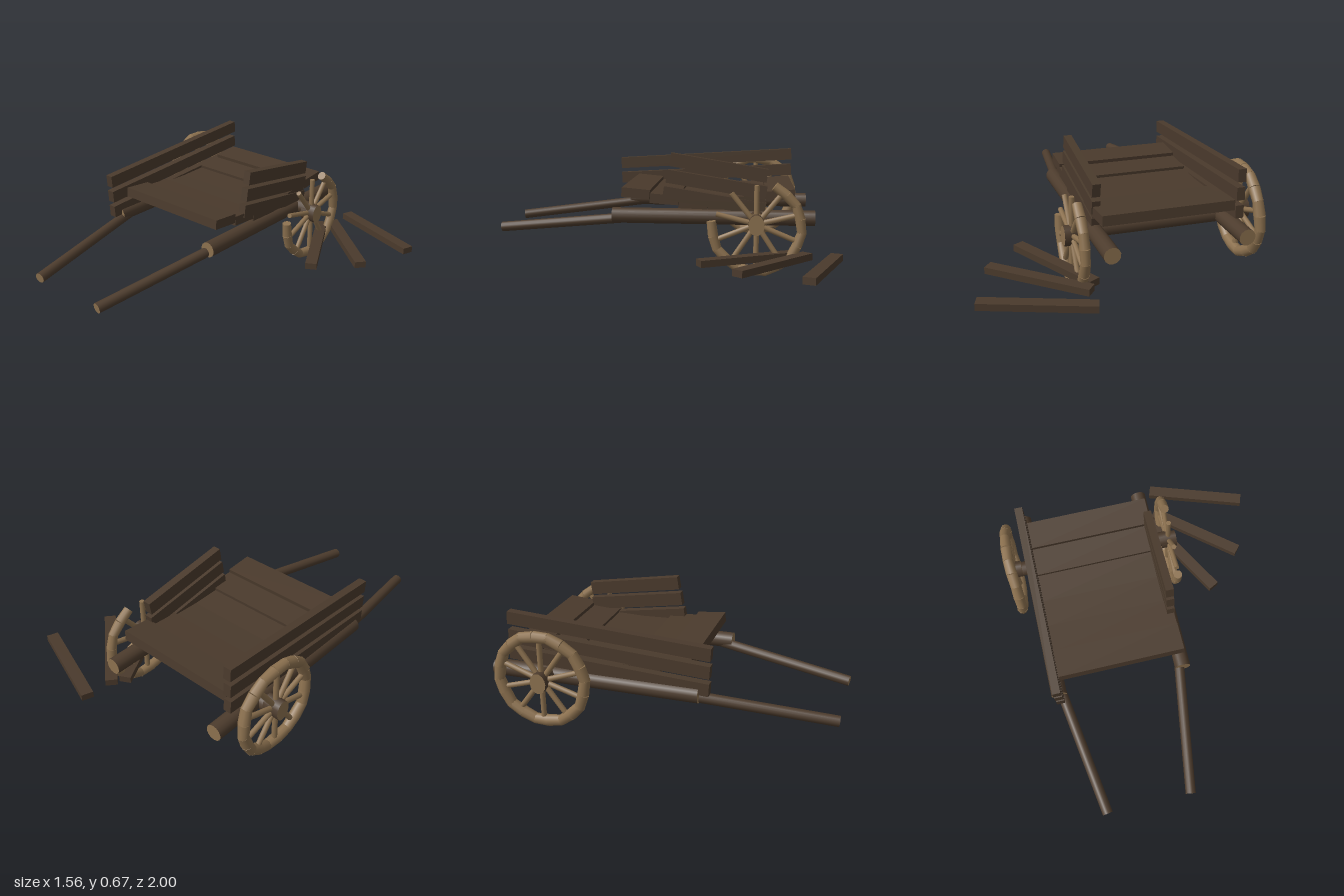
import * as THREE from 'three';

export function createModel() {
  const root = new THREE.Group();
  const mat = (name, color) => {
    const m = new THREE.MeshStandardMaterial({ color });
    m.name = name;
    return m;
  };
  const darkWood = mat('dark wood', 0x4d3c2d);
  const boardWood = mat('board wood', 0x4a3a2c);
  const paleWood = mat('pale wood', 0x8c714f);
  const V = (x, y, z) => new THREE.Vector3(x, y, z);

  // Round timber between two points, with its own material on the cut ends
  const rod = (name, a, b, r, side, end = side, parent = root, sides = 14, r2 = r) => {
    const d = b.clone().sub(a);
    const mesh = new THREE.Mesh(new THREE.CylinderGeometry(r2, r, d.length(), sides), [side, end, end]);
    mesh.position.copy(a).add(b).multiplyScalar(0.5);
    mesh.quaternion.setFromUnitVectors(V(0, 1, 0), d.normalize());
    mesh.name = name;
    parent.add(mesh);
    return mesh;
  };
  const box = (name, w, h, d, x, y, z) => {
    const mesh = new THREE.Mesh(new THREE.BoxGeometry(w, h, d), boardWood);
    mesh.position.set(x, y, z);
    mesh.name = name;
    root.add(mesh);
    return mesh;
  };

  // Side rails with pull shafts converging toward the front
  for (const s of [-1, 1]) {
    const cx = -0.257;
    rod('sideRail', V(cx + s * 0.363, 0.315, -0.85), V(cx + s * 0.363, 0.315, 0.3), 0.045, darkWood, paleWood);
    rod('pullShaft', V(cx + s * 0.36, 0.303, 0.2), V(cx + s * 0.237, 0.211, 0.996), 0.029, darkWood, paleWood);
  }

  // Axle
  rod('axle', V(-0.74, 0.315, -0.525), V(0.225, 0.315, -0.525), 0.043, darkWood, paleWood);

  // Deck planks, sagging in the middle: height and tilt of each, front to back
  const deck = [[0.444, -0.09], [0.412, -0.07], [0.388, -0.03], [0.388, 0.03], [0.412, 0.07], [0.444, 0.09]];
  deck.forEach(([y, tilt], i) => {
    box('deckPlank', 0.72, 0.055, 0.163, -0.237, y, 0.165 - i * 0.164).rotation.x = tilt;
  });

  // Side boards, given as front and back ends in the (z, y) plane
  const sideBoard = (x, w, z0, y0, z1, y1, h) => {
    const board = box('sideBoard', w, h, Math.hypot(z0 - z1, y0 - y1), x, (y0 + y1) / 2, (z0 + z1) / 2);
    board.rotation.x = -Math.atan2(y0 - y1, z0 - z1);
  };
  for (let i = 0; i < 3; i++) {
    sideBoard(-0.618, 0.045, 0.362 - i * 0.004, 0.548 - i * 0.097, -0.75, 0.617 - i * 0.1, 0.07);
    sideBoard(0.106, 0.045, -0.034 + i * 0.02, 0.641 - i * 0.095, -0.582 + i * 0.005, 0.552 - i * 0.095, 0.075);
  }

  // Loose planks beside the broken wheel: x, z, turn in degrees
  for (const [x, z, turn] of [[0.49, -0.87, 19], [0.425, -0.617, 40], [0.303, -0.48, 61.5]]) {
    box('loosePlank', 0.595, 0.038, 0.067, x, 0.119, z).rotation.y = -turn * Math.PI / 180;
  }

  // Wheels from ten rim pieces and ten spokes; some rim pieces can be missing
  const wheel = (name, x, y, hubY, pieces, radius, tube, wobble) => {
    const g = new THREE.Group();
    g.name = name;
    g.position.set(x, y, -0.523);
    root.add(g);
    const at = (deg, r, dx = 0) => {
      const a = deg * Math.PI / 180;
      return V(dx, Math.sin(a) * r, -Math.cos(a) * r);
    };
    const sway = (i) => wobble * Math.sin(i * 1.9);
    for (let i = 0; i < pieces; i++) {
      const a = at(66 - i * 36, radius, sway(i));
      const b = at(30 - i * 36, radius, sway((i + 1) % 10));
      const m = a.clone().add(b).multiplyScalar(0.5 * 1.025);
      const over = 0.006 / a.distanceTo(m);
      rod('rimPiece', a.clone().lerp(m, -over), m, tube * 0.9, paleWood, paleWood, g, 10, tube);
      rod('rimPiece', m, b.clone().lerp(m, -over), tube, paleWood, paleWood, g, 10, tube * 0.9);
    }
    for (let i = 0; i < 10; i++) {
      rod('spoke', V(0, hubY - y, 0), at(90 + i * 36, 0.235), 0.015, paleWood, paleWood, g, 8);
    }
    const hub = rod('hub', V(-0.047, hubY - y, 0), V(0.047, hubY - y, 0), 0.045, darkWood, paleWood, g);
    hub.scale.x = 1.28;
  };
  wheel('rightWheel', -0.733, 0.333, 0.327, 10, 0.246, 0.032, 0.006);
  wheel('leftBrokenWheel', 0.22, 0.276, 0.295, 7, 0.25, 0.029, 0.002);

  return root;
}
